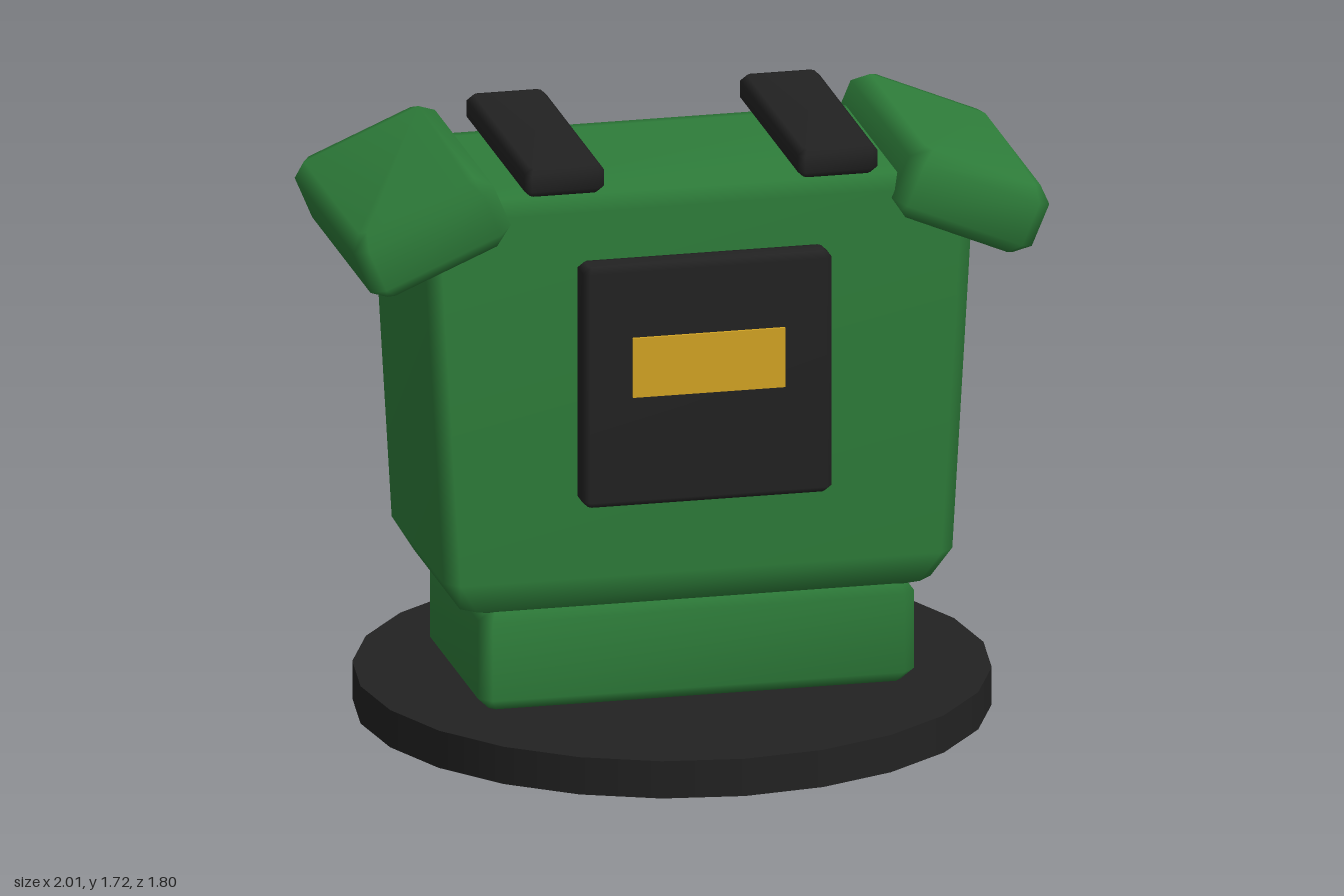
import * as THREE from 'three';

// Closed solid from octagonal rings [y, halfWidth, halfDepth, cornerCut], bottom to top
function loft(levels) {
  const pos = [], idx = [], n = 8;
  for (const [y, x, z, c] of levels) {
    const ring = [[x, -z + c], [x, z - c], [x - c, z], [-x + c, z],
      [-x, z - c], [-x, -z + c], [-x + c, -z], [x - c, -z]];
    for (const [px, pz] of ring) pos.push(px, y, pz);
  }
  const last = (levels.length - 1) * n;
  for (let r = 0; r < last; r += n) {
    for (let j = 0; j < n; j++) {
      const k = (j + 1) % n;
      idx.push(r + j, r + n + j, r + k, r + k, r + n + j, r + n + k);
    }
  }
  for (let j = 1; j < n - 1; j++) {
    idx.push(0, j, j + 1, last, last + j + 1, last + j);
  }
  const g = new THREE.BufferGeometry();
  g.setAttribute('position', new THREE.Float32BufferAttribute(pos, 3));
  g.setIndex(idx);
  g.computeVertexNormals();
  return g;
}

// Box with all edges bevelled by c
function bevelBox(w, h, d, c) {
  const x = w / 2, y = h / 2, z = d / 2;
  return loft([[-y, x - c, z - c, c * 0.5], [-y + c, x, z, c],
    [y - c, x, z, c], [y, x - c, z - c, c * 0.5]]);
}

export function createModel() {
  const model = new THREE.Group();
  const paint = (name, color) => {
    const m = new THREE.MeshStandardMaterial({ color });
    m.name = name;
    return m;
  };
  const green = paint('armour green', 0x2e7d3a);
  const black = paint('charcoal black', 0x222222);
  const gold = paint('badge gold', 0xd4a524);

  const add = (name, geometry, material, x, y, z) => {
    const mesh = new THREE.Mesh(geometry, material);
    mesh.name = name;
    mesh.position.set(x, y, z);
    model.add(mesh);
    return mesh;
  };

  // Round stand and waist
  add('standDisc', new THREE.CylinderGeometry(0.9, 0.9, 0.11, 24), black, 0, 0.055, 0);
  add('waist', bevelBox(1.26, 0.3, 0.66, 0.035), green, 0, 0.26, 0);

  // Torso, widening towards the shoulders
  add('torso', loft([
    [0.385, 0.6, 0.27, 0.03], [0.41, 0.68, 0.325, 0.04], [0.5, 0.735, 0.36, 0.04],
    [1.58, 0.797, 0.36, 0.04], [1.62, 0.755, 0.32, 0.03],
  ]), green, 0, 0, 0);

  // Chest plate and badge
  add('chestPlate', bevelBox(0.72, 0.71, 0.1, 0.018), black, 0, 1.085, 0.4);
  add('chestBadge', new THREE.BoxGeometry(0.44, 0.175, 0.009), gold, 0, 1.142, 0.4545);

  // Mirrored straps and sloping shoulder pads
  for (const [side, s] of [['left', 1], ['right', -1]]) {
    add(side + 'Strap', bevelBox(0.23, 0.085, 0.745, 0.018), black, s * 0.395, 1.678, 0);
    const pad = add(side + 'ShoulderPad', bevelBox(0.44, 0.21, 0.8, 0.04), green, s * 0.778, 1.533, 0);
    pad.rotation.z = -s * 0.4;
  }
  return model;
}
